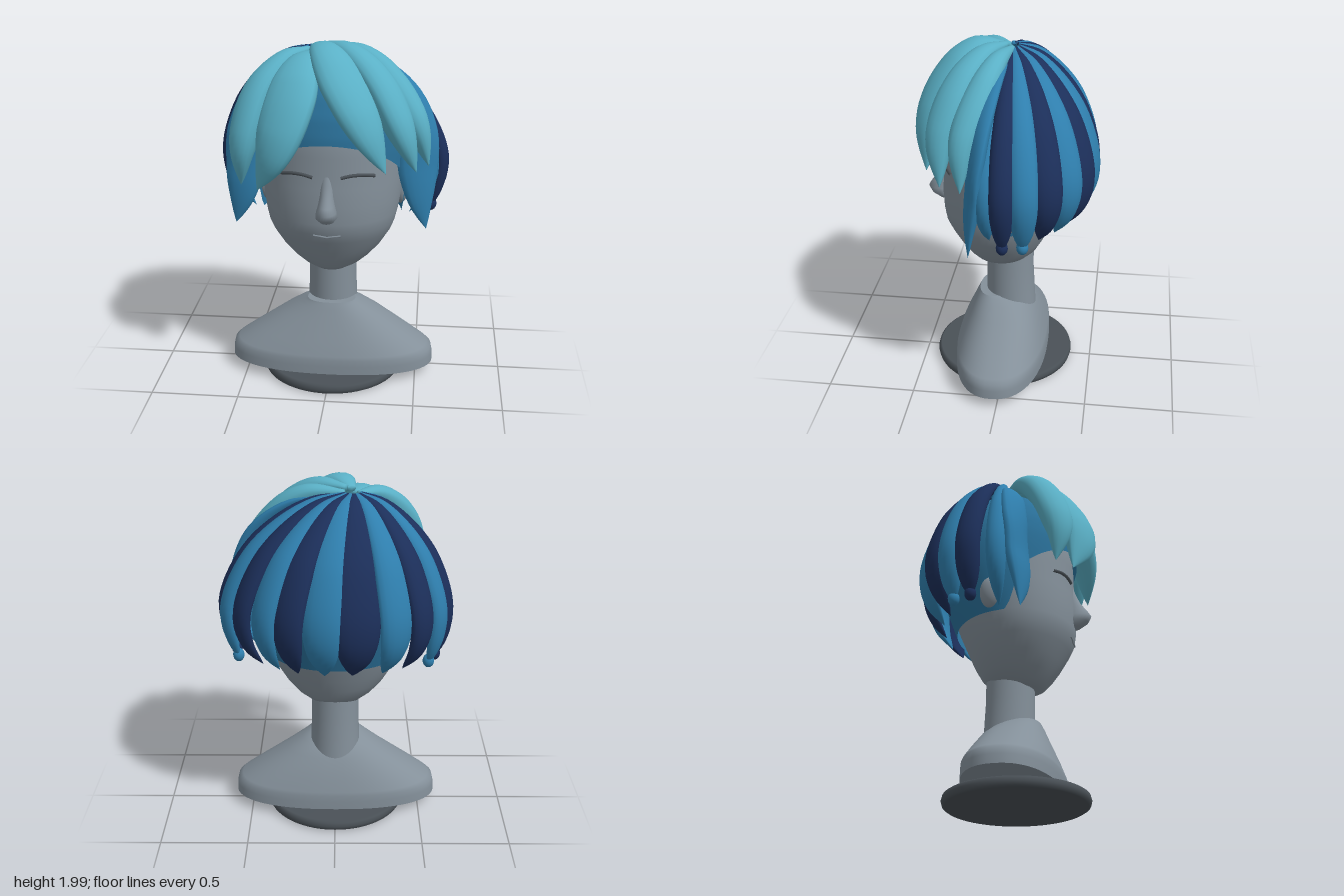
import * as THREE from 'three';

const V = (x, y, z) => new THREE.Vector3(x, y, z);
const mat = (color, side = THREE.FrontSide) => new THREE.MeshStandardMaterial({ color, side });
const SKIN = mat(0x84909a), DARK = mat(0x4a5157);
const TEAL = mat(0x5ab0c6), BLUE = mat(0x2f7fae), NAVY = mat(0x1c2f5a);
const CAP = mat(0x2a7099, THREE.DoubleSide);

function add(parent, name, geometry, material) {
  const mesh = new THREE.Mesh(geometry, material);
  mesh.name = name;
  parent.add(mesh);
  return mesh;
}

// Skin a list of closed rings with equal point counts
function loft(rings) {
  const n = rings[0].length, index = [];
  for (let i = 0; i < rings.length - 1; i++) {
    for (let j = 0; j < n; j++) {
      const k = (j + 1) % n;
      const a = i * n + j, b = i * n + k, c = b + n, d = a + n;
      index.push(a, b, c, a, c, d);
    }
  }
  const g = new THREE.BufferGeometry().setFromPoints(rings.flat());
  g.setIndex(index);
  g.computeVertexNormals();
  return g;
}

// Point on a rounded oval; section = [y, half width, front z, back z]
function ovalPoint([y, hw, zf, zb], a, power = 2) {
  const round = (v) => Math.sign(v) * Math.pow(Math.abs(v), 2 / power);
  return V(hw * round(Math.sin(a)), y, (zf + zb) / 2 + (zf - zb) / 2 * round(Math.cos(a)));
}
const oval = (section, power, n = 48) =>
  Array.from({ length: n }, (_, j) => ovalPoint(section, j / n * Math.PI * 2, power));
const ovalLoft = (sections, power, n) => loft(sections.map((s) => oval(s, power, n)));

// Head sections from chin to crown
const HEAD = [
  [0.67, 0, 0.11, 0.11], [0.672, 0.09, 0.17, 0.0], [0.70, 0.165, 0.20, -0.12], [0.75, 0.225, 0.24, -0.17],
  [0.82, 0.285, 0.285, -0.21], [0.90, 0.335, 0.33, -0.245], [0.96, 0.36, 0.36, -0.27], [1.02, 0.375, 0.37, -0.295],
  [1.12, 0.392, 0.375, -0.33], [1.22, 0.402, 0.37, -0.365], [1.30, 0.408, 0.365, -0.385], [1.40, 0.41, 0.365, -0.40],
  [1.50, 0.402, 0.36, -0.40], [1.60, 0.375, 0.335, -0.37], [1.70, 0.32, 0.285, -0.31], [1.78, 0.25, 0.22, -0.235],
  [1.84, 0.17, 0.15, -0.15], [1.875, 0.09, 0.09, -0.08], [1.885, 0, 0.01, 0.01],
];
function headSection(y) {
  let i = 0;
  while (i < HEAD.length - 2 && HEAD[i + 1][0] < y) i++;
  const t = THREE.MathUtils.clamp((y - HEAD[i][0]) / (HEAD[i + 1][0] - HEAD[i][0]), 0, 1);
  return HEAD[i].map((v, k) => THREE.MathUtils.lerp(v, HEAD[i + 1][k], t));
}
// Point on the face at a given x and y
function facePoint(x, y) {
  const s = headSection(y);
  return ovalPoint(s, Math.asin(x / s[1])).add(V(0, 0, 0.004));
}
const faceLine = (pts, r) =>
  new THREE.TubeGeometry(new THREE.CatmullRomCurve3(pts.map(([x, y]) => facePoint(x, y))), 16, r, 6);

// Close-fitting cap under the locks, with an arched hairline
function scalpCap() {
  const n = 64, rows = 24, rings = [];
  for (let i = 0; i <= rows; i++) {
    rings.push(Array.from({ length: n }, (_, j) => {
      const a = j / n * Math.PI * 2, off = Math.min(a, Math.PI * 2 - a);
      const hem = 1.47 - 0.17 * Math.pow(Math.min(off / 1.1, 1), 2)
        - 0.3 * THREE.MathUtils.smoothstep(off, 1.1, 1.6);
      const v = i / rows;
      const [y, hw, zf, zb] = headSection(THREE.MathUtils.lerp(hem, 1.885, 1 - Math.pow(1 - v, 1.4)));
      const grow = 0.025 * Math.min(1, hw * 6);
      return ovalPoint([y + 0.04 * Math.max(0, y - 1.3), hw + grow, zf + grow, zb - grow], a);
    }));
  }
  return loft(rings);
}

// Leaf-shaped lock swept along a path, facing away from `centre`
function lock(path, width, thick, { taper = 2.5, peak = 0.62, inner = 0.6, centre = V(-0.05, 1.2, 0) } = {}) {
  const curve = new THREE.CatmullRomCurve3(path), steps = 32, n = 16, rings = [];
  for (let i = 0; i <= steps; i++) {
    const t = i / steps, p = curve.getPointAt(t), T = curve.getTangentAt(t);
    const W = T.clone().cross(p.clone().sub(centre)).normalize();
    const N = W.clone().cross(T);
    const swell = t < peak
      ? 0.2 + 0.8 * Math.sin(t / peak * Math.PI / 2)
      : 1 - Math.pow((t - peak) / (1 - peak), taper);
    const w = width * swell, h = thick * Math.min(1, swell * 1.1);
    rings.push(Array.from({ length: n }, (_, j) => {
      const a = j / n * Math.PI * 2, c = Math.cos(a);
      return p.clone().addScaledVector(W, w * Math.sin(a)).addScaledVector(N, h * c * (c > 0 ? 1 : inner));
    }));
  }
  rings.unshift(rings[0].map(() => path[0]));
  return loft(rings);
}

export function createModel() {
  const model = new THREE.Group();
  model.name = 'wigOnBust';

  // Stand
  const rim = [[0, 0], [0.39, 0], [0.402, 0.008], [0.408, 0.03], [0.402, 0.052], [0.39, 0.06], [0, 0.06]];
  const stand = add(model, 'standDisc',
    new THREE.LatheGeometry(rim.map(([x, y]) => new THREE.Vector2(x, y)), 64), DARK);
  stand.position.z = 0.025;

  // Shoulders; doubled sections keep the edges crisp
  const foot = [0.06, 0.6, 0.3, -0.24], top = [0.46, 0.14, 0.17, -0.01];
  add(model, 'shoulders', ovalLoft([
    [0.06, 0, 0.03, 0.03], foot, foot, [0.11, 0.598, 0.3, -0.24], [0.148, 0.59, 0.298, -0.238],
    [0.17, 0.565, 0.292, -0.233], [0.25, 0.45, 0.262, -0.207], [0.36, 0.288, 0.214, -0.163],
    [0.42, 0.2, 0.189, -0.11], [0.448, 0.158, 0.176, -0.06], top, top, [0.46, 0, 0.08, 0.08],
  ], 2.3, 64), SKIN);
  add(model, 'neck', ovalLoft([
    [0.3, 0.15, 0.13, -0.165], [0.45, 0.143, 0.13, -0.155], [0.6, 0.137, 0.13, -0.147], [0.8, 0.137, 0.13, -0.145],
  ]), SKIN);

  // Head and face
  const head = new THREE.Group();
  head.name = 'head';
  model.add(head);
  add(head, 'skull', ovalLoft(HEAD), SKIN);
  add(head, 'nose', ovalLoft([
    [1.025, 0, 0.35, 0.3], [1.04, 0.04, 0.405, 0.3], [1.07, 0.06, 0.447, 0.3], [1.105, 0.056, 0.466, 0.3],
    [1.14, 0.046, 0.445, 0.3], [1.19, 0.038, 0.407, 0.3], [1.25, 0.036, 0.38, 0.3], [1.33, 0.03, 0.355, 0.3],
    [1.35, 0, 0.35, 0.3],
  ], 2, 24), SKIN);
  add(head, 'mouth', faceLine([[-0.075, 0.955], [-0.03, 0.95], [0, 0.945], [0.03, 0.95], [0.075, 0.955]], 0.005), SKIN);
  for (const [side, s] of [['left', 1], ['right', -1]]) {
    add(head, side + 'ClosedEye',
      faceLine([[0.075, 1.292], [0.13, 1.303], [0.19, 1.303], [0.255, 1.29]].map(([x, y]) => [s * x, y]), 0.01), DARK);
    const ear = add(head, side + 'Ear', new THREE.SphereGeometry(1, 24, 16), SKIN);
    ear.scale.set(0.04, 0.09, 0.06);
    ear.position.set(s * 0.395, 1.11, -0.04);
    ear.rotation.z = -s * 0.12;
  }

  // Hair
  const hair = new THREE.Group();
  hair.name = 'hair';
  model.add(hair);
  add(hair, 'scalpCap', scalpCap(), CAP);
  const crown = V(-0.1, 1.92, -0.01);

  // Side and back locks: widest x, z, half width, material, curled tip
  const backLocks = [
    [-0.555, 0.025, 0.058, BLUE, 0], [-0.605, -0.12, 0.075, NAVY, 1], [-0.56, -0.23, 0.075, BLUE, 1],
    [-0.465, -0.335, 0.085, NAVY, 0], [-0.325, -0.415, 0.1, BLUE, 0], [-0.12, -0.455, 0.125, NAVY, 0],
    [0.07, -0.46, 0.11, BLUE, 0], [0.25, -0.425, 0.1, NAVY, 0], [0.38, -0.36, 0.09, BLUE, 0],
    [0.50, -0.265, 0.085, NAVY, 0], [0.585, -0.15, 0.075, BLUE, 1], [0.605, -0.035, 0.066, NAVY, 1],
    [0.55, 0.065, 0.055, BLUE, 0],
  ];
  const fan = [[0.08, 1.925], [0.33, 1.88], [0.62, 1.745], [0.86, 1.555], [1, 1.32]];
  backLocks.forEach(([x, z, width, material, curled], i) => {
    const path = fan.map(([f, y]) => V(crown.x + (x - crown.x) * f, y, crown.z + (z - crown.z) * f));
    const tip = curled ? [[0.97, 1.14], [0.92, 1.0]] : [[0.95, 1.14], [0.8, 1.0]];
    for (const [f, y] of tip) path.push(V(x * f, y, z * f));
    add(hair, 'backLock' + (i + 1), lock(path, width, 0.05, { taper: curled ? 4.5 : 3 }), material);
    if (!curled) return;
    // Small rolled-up end
    const curl = add(hair, 'curledTip' + (i + 1), new THREE.SphereGeometry(0.036, 16, 12), material);
    curl.position.set(x * 0.93, 1.025, z * 0.93);
    curl.scale.set(0.9, 1.1, 0.9);
  });

  // Broad locks in front of the ears, facing forward
  for (const [side, s] of [['left', 1], ['right', -1]]) {
    const path = [V(crown.x, 1.9, 0.01), V(s * 0.2, 1.85, 0.05), V(s * 0.39, 1.7, 0.09), V(s * 0.475, 1.5, 0.115),
      V(s * 0.485, 1.28, 0.13), V(s * 0.505, 1.1, 0.15), V(s * 0.54, 0.94, 0.155)];
    add(hair, side + 'TempleLock',
      lock(path, 0.118, 0.045, { taper: 1.9, peak: 0.68, inner: 1, centre: V(s * 0.33, 1.0, -0.45) }), BLUE);
  }

  // Swept fringe: half width, widest position, then path points
  const fringe = [
    [0.1, 0.55, [-0.13, 1.92, 0.01], [-0.25, 1.89, 0.13], [-0.39, 1.72, 0.27], [-0.46, 1.45, 0.36], [-0.47, 1.23, 0.34]],
    [0.15, 0.45, [-0.11, 1.91, 0.06], [-0.15, 1.88, 0.2], [-0.2, 1.7, 0.37], [-0.275, 1.46, 0.45], [-0.37, 1.23, 0.42]],
    [0.13, 0.45, [-0.09, 1.94, 0.04], [-0.03, 1.945, 0.18], [0.09, 1.79, 0.33], [0.215, 1.57, 0.41], [0.32, 1.34, 0.41]],
    [0.1, 0.55, [-0.06, 1.95, 0.02], [0.1, 1.935, 0.13], [0.28, 1.78, 0.25], [0.4, 1.55, 0.32], [0.48, 1.32, 0.31]],
    [0.085, 0.55, [-0.05, 1.93, -0.01], [0.16, 1.91, 0.05], [0.36, 1.75, 0.13], [0.48, 1.55, 0.19], [0.545, 1.32, 0.19]],
  ];
  fringe.forEach(([width, peak, ...pts], i) => {
    add(hair, 'fringeLock' + (i + 1),
      lock(pts.map((p) => V(...p)), width, 0.065, { taper: 2.2, peak, inner: 1.4 }), TEAL);
  });
  return model;
}
